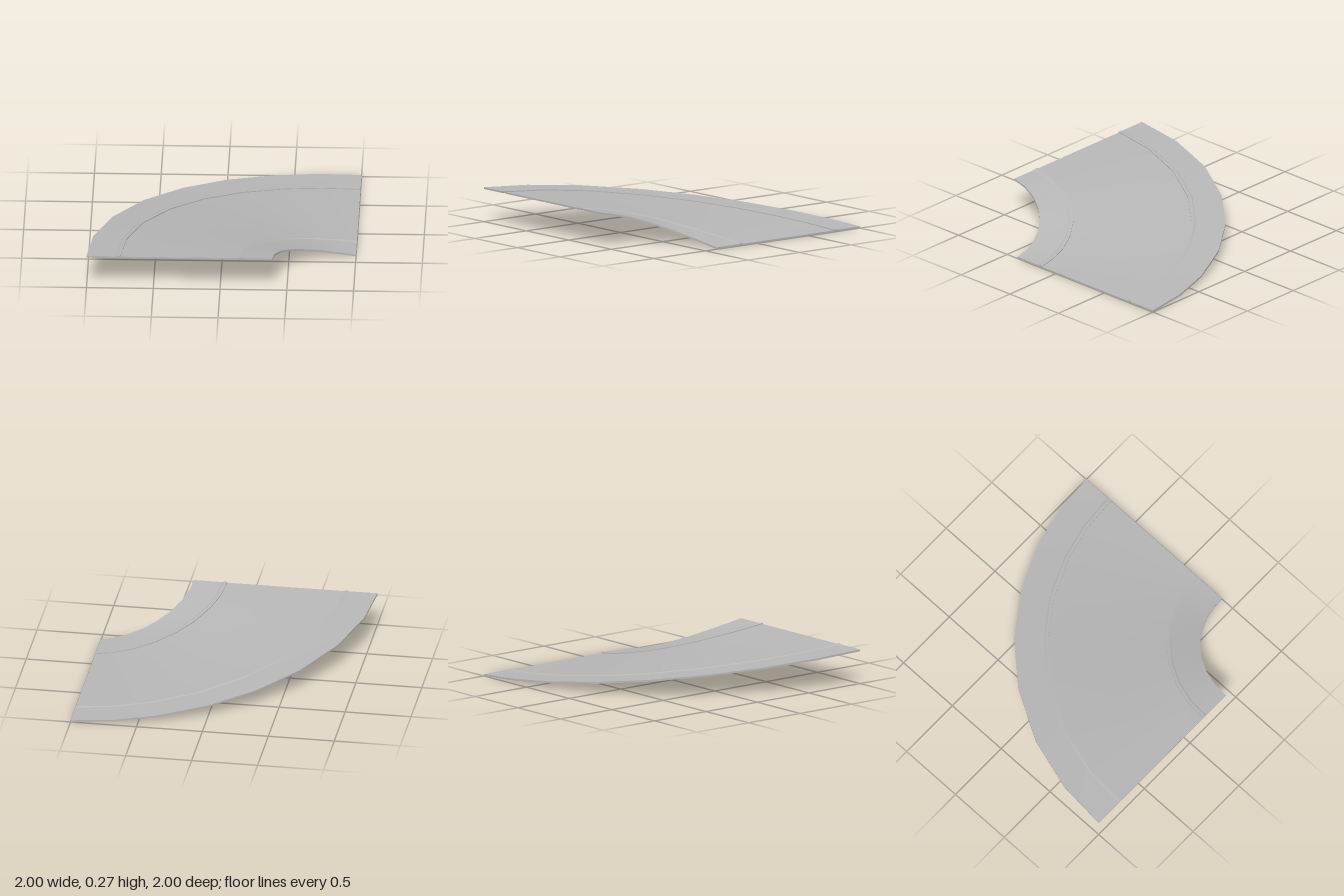
import * as THREE from 'three';

const concrete = new THREE.MeshStandardMaterial({ color: 0xb6b6b6 });
concrete.name = 'concrete grey';

// Angular stations along the quarter turn, in degrees
const angles = [0, 11.25, 23.7, 36.6, 48.5, 60, 71.3, 80.7, 90];

// Descent of the ramp, gently eased at both ends
function rampHeight(t) {
  const eased = t * t * (3 - 2 * t);
  return 0.248 * (1 - (0.5 * t + 0.5 * eased));
}

// Point of the section [radius, height] at an angle around the corner (1, 1)
function place([r, h], deg) {
  const a = THREE.MathUtils.degToRad(deg);
  return [1 - r * Math.cos(a), rampHeight(deg / 90) + h, 1 - r * Math.sin(a)];
}

// Sweep a closed section round the turn; edges in `hidden` are inner joints
function sweep(name, section, hidden) {
  const positions = [];
  const index = [];

  // One strip per section edge, so the edges stay sharp and the turn smooth
  section.forEach((p, e) => {
    if (hidden.includes(e)) return;
    const q = section[(e + 1) % section.length];
    const base = positions.length / 3;
    angles.forEach((deg, i) => {
      positions.push(...place(p, deg), ...place(q, deg));
      if (i === angles.length - 1) return;
      const a = base + i * 2;
      index.push(a, a + 2, a + 1, a + 1, a + 2, a + 3);
    });
  });

  // End faces
  const contour = section.map(([r, h]) => new THREE.Vector2(-r, h));
  const faces = THREE.ShapeUtils.triangulateShape(contour, []);
  for (const deg of [0, 90]) {
    const base = positions.length / 3;
    section.forEach((p) => positions.push(...place(p, deg)));
    for (const [a, b, c] of faces) {
      if (deg === 0) index.push(base + a, base + b, base + c);
      else index.push(base + a, base + c, base + b);
    }
  }

  const geometry = new THREE.BufferGeometry();
  geometry.setAttribute('position', new THREE.Float32BufferAttribute(positions, 3));
  geometry.setIndex(index);
  geometry.computeVertexNormals();
  const mesh = new THREE.Mesh(geometry, concrete);
  mesh.name = name;
  return mesh;
}

export function createModel() {
  const group = new THREE.Group();
  group.name = 'curvedRamp';

  // Road surface between the kerbs
  group.add(sweep('road', [
    [0.86, 0], [0.86, 0.005], [0.86, 0.012],
    [1.745, 0.012], [1.745, 0.005], [1.745, 0],
  ], [1, 3]));

  // Pavement with raised kerb on the inside of the bend
  group.add(sweep('innerPavement', [
    [0.608, 0], [0.608, 0.014], [0.825, 0.014], [0.835, 0.019], [0.86, 0.019],
    [0.86, 0.012], [0.86, 0.005], [0.835, 0.005], [0.825, 0],
  ], [5]));

  // Pavement with raised kerb on the outside of the bend
  group.add(sweep('outerPavement', [
    [1.745, 0.005], [1.745, 0.012], [1.745, 0.019], [1.77, 0.019], [1.78, 0.014],
    [2, 0.014], [2, 0], [1.78, 0], [1.77, 0.005],
  ], [0]));

  return group;
}
